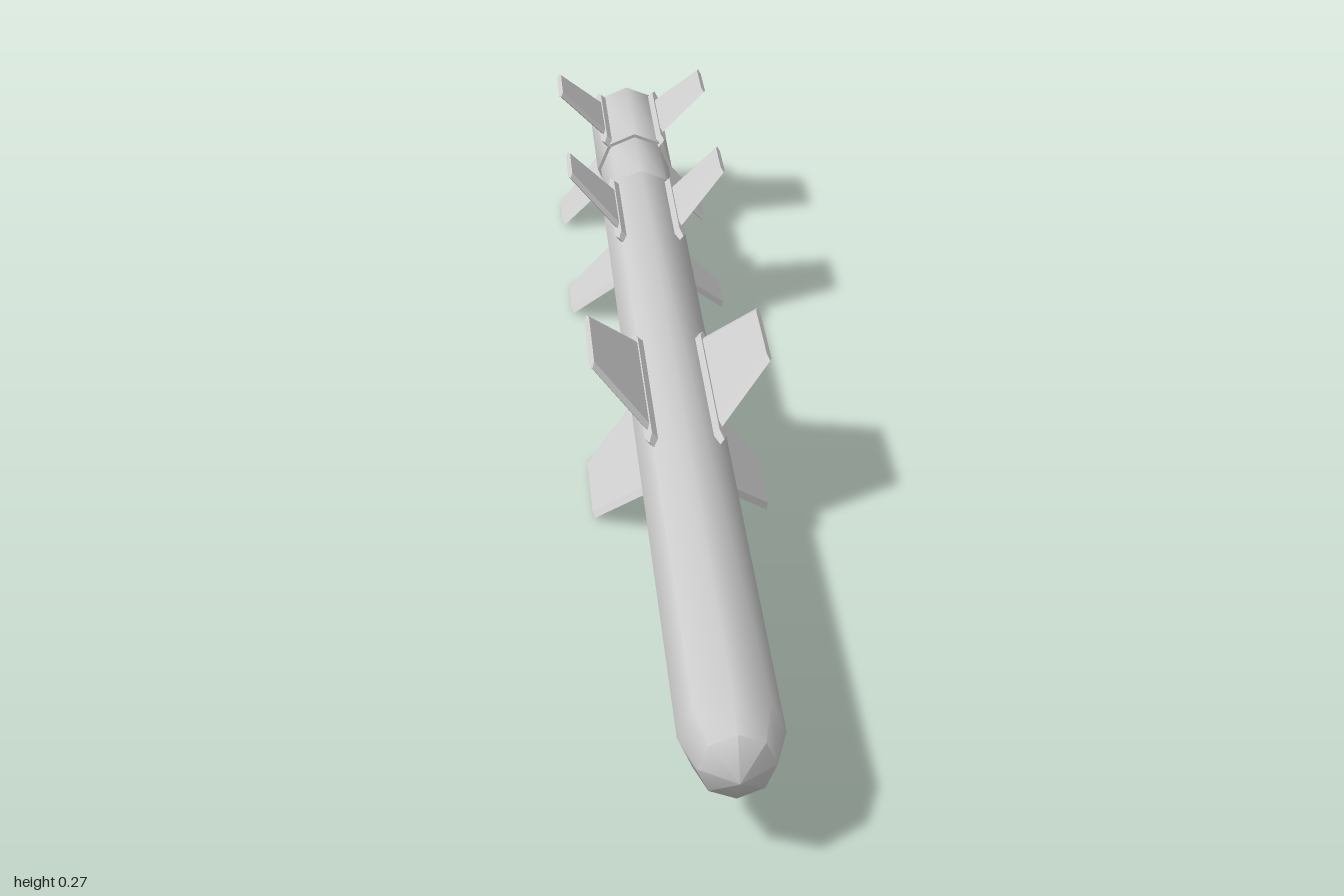
import * as THREE from 'three';
import { toCreasedNormals } from 'three/addons/utils/BufferGeometryUtils.js';

const material = new THREE.MeshStandardMaterial({ color: 0xcccccc });
const AXIS_Y = 0.137;
const R = 0.069;

// Eight-sided turned part along z from [radius, z] points, rear to front
function turned(name, profile) {
  const points = profile.map(([r, z]) => new THREE.Vector2(r, z));
  const geometry = new THREE.LatheGeometry(points, 8).rotateX(Math.PI / 2);
  const mesh = new THREE.Mesh(toCreasedNormals(geometry, 0.9), material);
  mesh.name = name;
  return mesh;
}

// Blade between two radii with bevelled leading and trailing edges.
// root and tip: { r, front, back }, h: half thickness, bevel: edge width
function blade(name, root, tip, h, bevel) {
  const section = ({ r, front, back }) => [
    [r, 0, front], [r, h, front - bevel], [r, h, back + bevel],
    [r, 0, back], [r, -h, back + bevel], [r, -h, front - bevel],
  ];
  const a = section(root), b = section(tip), pos = [];
  const tri = (...corners) => corners.forEach((c) => pos.push(...c));
  for (let i = 0; i < 6; i++) {
    const j = (i + 1) % 6;
    tri(a[i], b[i], b[j]);
    tri(a[i], b[j], a[j]);
  }
  for (let i = 1; i < 5; i++) {
    tri(b[0], b[i + 1], b[i]);
    tri(a[0], a[i], a[i + 1]);
  }
  const geometry = new THREE.BufferGeometry();
  geometry.setAttribute('position', new THREE.Float32BufferAttribute(pos, 3));
  geometry.computeVertexNormals();
  const mesh = new THREE.Mesh(geometry, material);
  mesh.name = name;
  return mesh;
}

// Four fins with mounting rails, set on the diagonals; each entry is [front z, back z]
function finSet(name, root, tip, rail) {
  const set = new THREE.Group();
  set.name = name;
  for (let i = 0; i < 4; i++) {
    const fin = new THREE.Group();
    fin.name = 'finWithRail';
    fin.add(
      blade('fin', { r: 0.06, front: root[0], back: root[1] },
        { r: 0.187, front: tip[0], back: tip[1] }, 0.005, 0.014),
      blade('rail', { r: 0.058, front: rail[0], back: rail[1] },
        { r: 0.078, front: rail[0] - 0.006, back: rail[1] + 0.006 }, 0.0075, 0.02),
    );
    fin.rotation.z = Math.PI / 4 + (i * Math.PI) / 2;
    set.add(fin);
  }
  return set;
}

export function createModel() {
  const model = new THREE.Group();
  model.name = 'missile';
  model.position.y = AXIS_Y;

  // Main tube with rounded nose
  model.add(turned('body', [[0, -0.605], [R, -0.605], [R, 0.905], [0.05, 0.967], [0, 1]]));
  // Narrower neck between body and tail
  model.add(turned('neck', [[0.063, -0.78], [0.063, -0.6]]));
  // Hollow tail section: inner floor, bore, rim, outer wall, front shoulder
  model.add(turned('tail', [
    [0, -0.8], [0.059, -0.8], [0.059, -0.985], [R, -0.985], [R, -0.765], [0.06, -0.765],
  ]));

  model.add(finSet('middleFins', [0.27, -0.02], [0.205, 0.04], [0.302, -0.037]));
  model.add(finSet('rearFins', [-0.4, -0.568], [-0.452, -0.56], [-0.362, -0.613]));
  model.add(finSet('tailFins', [-0.8, -0.962], [-0.803, -0.912], [-0.757, -1]));

  const group = new THREE.Group();
  group.add(model);
  return group;
}
